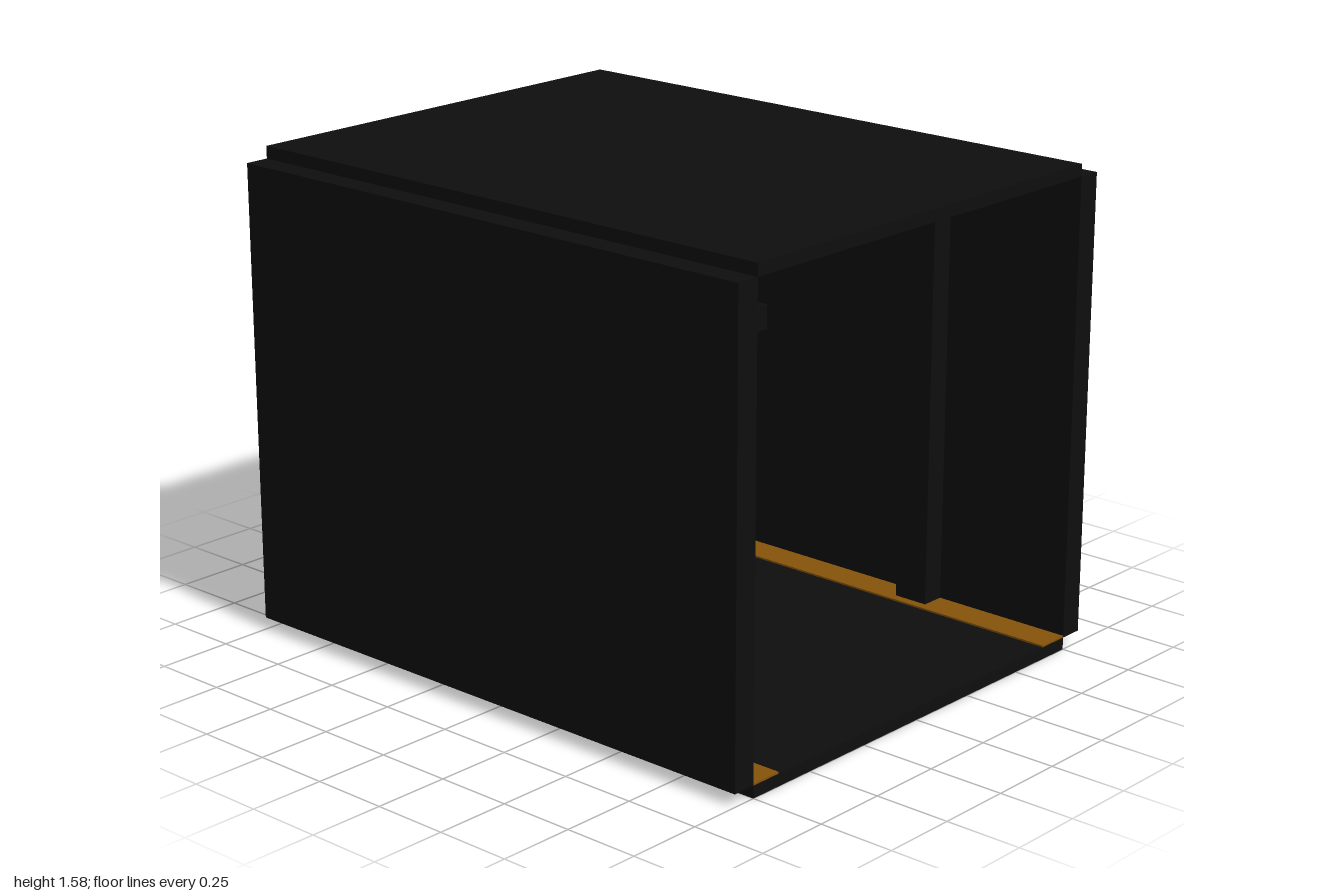
import * as THREE from 'three';

export function createModel() {
  const model = new THREE.Group();
  model.name = 'corridorSegment';

  const hull = new THREE.MeshStandardMaterial({ color: 0x0e0e0e });
  hull.name = 'near black metal';
  const amber = new THREE.MeshStandardMaterial({ color: 0x87530b });
  amber.name = 'amber strip';

  // Box given by its lower and upper corners
  function box(name, min, max, material = hull) {
    const size = max.map((v, i) => v - min[i]);
    const mesh = new THREE.Mesh(new THREE.BoxGeometry(...size), material);
    mesh.position.set(...max.map((v, i) => (v + min[i]) / 2));
    mesh.name = name;
    model.add(mesh);
    return mesh;
  }

  // Floor and ceiling slabs
  box('floor', [-0.75, 0, -1], [0.75, 0.04, 1]);
  box('ceiling', [-0.75, 1.54, -1], [0.75, 1.58, 1]);

  for (const [side, label] of [[1, 'left'], [-1, 'right']]) {
    const span = (a, b) => [Math.min(a * side, b * side), Math.max(a * side, b * side)];

    // Side wall
    const [w0, w1] = span(0.75, 0.83);
    box(label + 'Wall', [w0, 0.04, -1], [w1, 1.54, 1]);

    // Floor edge strip
    const [s0, s1] = span(0.64, 0.75);
    box(label + 'FloorStrip', [s0, 0.04, -1], [s1, 0.046, 1], amber);

    // Pillars against the wall
    const [p0, p1] = span(0.67, 0.75);
    for (const z of [-0.45, 0.45]) {
      box(label + 'Pillar', [p0, 0.04, z - 0.06], [p1, 1.54, z + 0.06]);
    }
  }

  // Ceiling beams joining the pillars, each with a central housing
  for (const z of [-0.45, 0.45]) {
    box('ceilingBeam', [-0.67, 1.47, z - 0.06], [0.67, 1.54, z + 0.06]);
    box('beamHousing', [-0.09, 1.467, z - 0.075], [0.09, 1.505, z + 0.075]);
  }

  // Conduit and equipment panel on the right wall
  box('wallConduit', [-0.75, 1.385, -1], [-0.71, 1.455, 1]);
  box('wallPanel', [-0.75, 0.33, -0.21], [-0.73, 0.9, 0.21]);

  return model;
}
